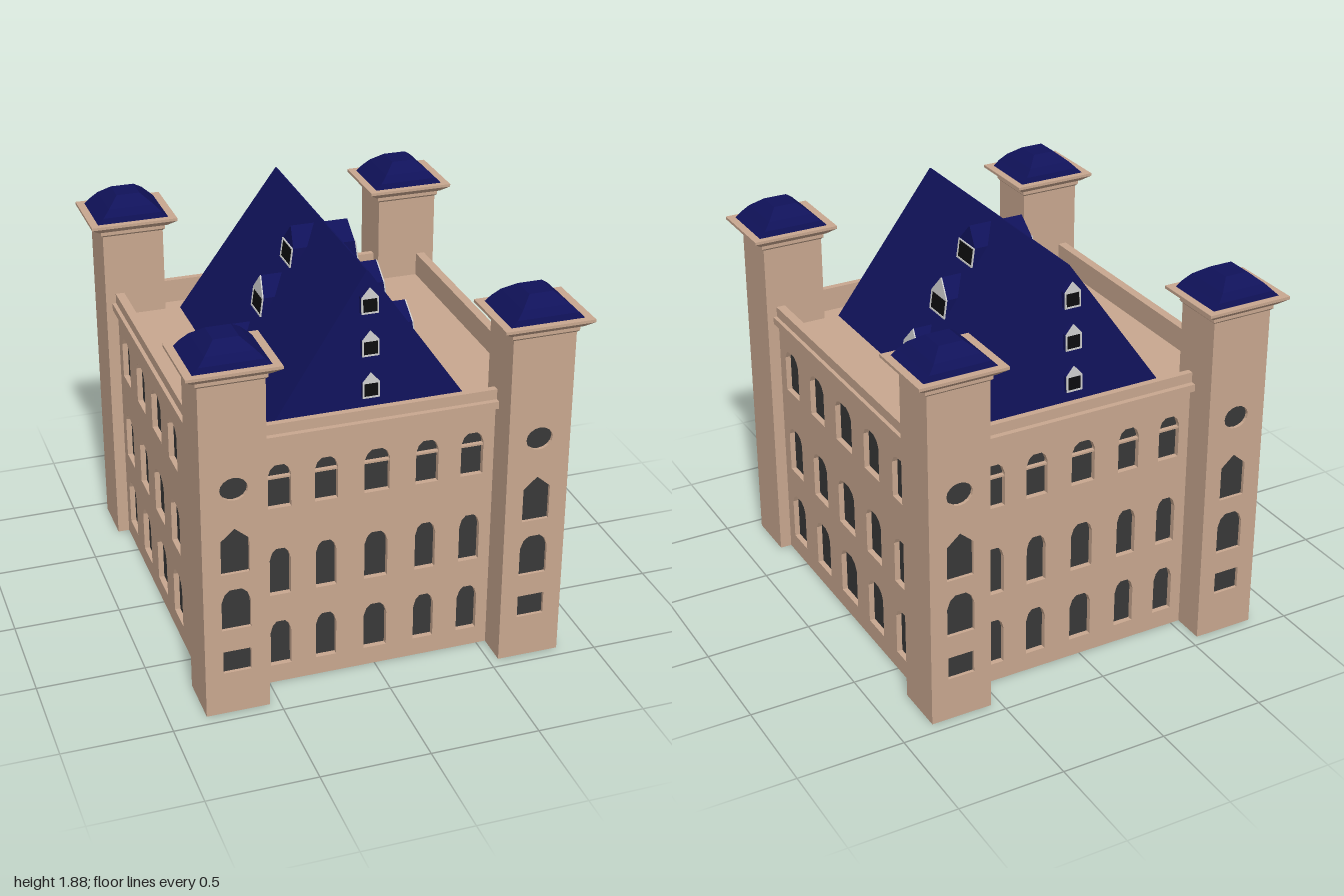
import * as THREE from 'three';

const mat = (color) => new THREE.MeshStandardMaterial({ color, flatShading: true, roughness: 0.9 });
const stone = mat(0xc8a78f), slate = mat(0x10125a), dark = mat(0x383838), black = mat(0x0c0c0e), trim = mat(0xcccccc);
dark.side = black.side = THREE.DoubleSide;

function add(parent, name, geo, material, x = 0, y = 0, z = 0) {
  const m = new THREE.Mesh(geo, material);
  m.name = name;
  m.position.set(x, y, z);
  parent.add(m);
  return m;
}

const poly = (pts) => new THREE.Shape(pts.map(([x, y]) => new THREE.Vector2(x, y)));
const rect = (hx, y0, y1) => poly([[-hx, y0], [hx, y0], [hx, y1], [-hx, y1]]);
const extrude = (shape, depth) => new THREE.ExtrudeGeometry(shape, { depth, bevelEnabled: false });

// Solid through rectangular sections [halfX, halfZ, y], bottom to top
function loft(sections) {
  const pos = [], idx = [], n = sections.length;
  for (const [hx, hz, y] of sections) pos.push(hx, y, hz, hx, y, -hz, -hx, y, -hz, -hx, y, hz);
  for (let s = 0; s < n - 1; s++) {
    for (let k = 0; k < 4; k++) {
      const a = s * 4 + k, b = s * 4 + (k + 1) % 4;
      idx.push(a, b, b + 4, a, b + 4, a + 4);
    }
  }
  const t = (n - 1) * 4;
  idx.push(0, 2, 1, 0, 3, 2, t, t + 1, t + 2, t, t + 2, t + 3);
  const g = new THREE.BufferGeometry();
  g.setAttribute('position', new THREE.Float32BufferAttribute(pos, 3));
  g.setIndex(idx);
  const flat = g.toNonIndexed();
  flat.computeVertexNormals();
  return flat;
}

// Window opening with a faceted arched head of height s
const arch = (x, w, y0, y1, s) => [
  [x - w, y0], [x + w, y0], [x + w, y1 - s], [x + w * 0.78, y1 - s * 0.35], [x + w * 0.4, y1],
  [x - w * 0.4, y1], [x - w * 0.78, y1 - s * 0.35], [x - w, y1 - s],
];

// Wall panel pierced by openings, with dark panes behind; outer face at z
function piercedWall(parent, name, outline, openings, z, depth) {
  outline.holes = openings.map((o) => new THREE.Path(o.map(([x, y]) => new THREE.Vector2(x, y))));
  add(parent, name, extrude(outline, depth), stone, 0, 0, z - depth);
  add(parent, 'windowPanes', new THREE.ShapeGeometry(openings.map(poly)), dark, 0, 0, z - depth + 0.004);
}

// Rectangular ring lying flat, used for the parapet
function ring(parent, name, ox, oz, ix, iz, y0, y1) {
  const s = rect(ox, -oz, oz);
  s.holes.push(rect(ix, -iz, iz));
  const g = extrude(s, y1 - y0);
  g.rotateX(-Math.PI / 2);
  add(parent, name, g, stone, 0, y0, 0);
}

// Gabled dormer facing +z; lean shears the face backward with height
function dormer(hw, eave, apex, depth, lean, gableTrim) {
  const g = new THREE.Group();
  g.name = 'dormer';
  const shear = new THREE.Matrix4().set(1, 0, 0, 0, 0, 1, 0, 0, 0, -lean, 1, 0, 0, 0, 0, 1);
  const house = [[-hw, 0], [hw, 0], [hw, eave], [0, apex], [-hw, eave]];
  add(g, 'dormerBody', extrude(poly(house), depth).applyMatrix4(shear), slate, 0, 0, -depth);
  const frame = gableTrim ? poly(house) : rect(hw, 0, eave);
  const pane = rect(hw - 0.007, 0.007, eave - 0.005);
  frame.holes.push(pane);
  add(g, 'dormerFrame', extrude(frame, 0.006).applyMatrix4(shear), trim);
  add(g, 'dormerPane', new THREE.ShapeGeometry(pane).applyMatrix4(shear), black, 0, 0, 0.002);
  return g;
}

function tower() {
  const g = new THREE.Group();
  g.name = 'tower';
  add(g, 'towerShaft', new THREE.BoxGeometry(0.29, 1.62, 0.225), stone, 0, 0.81, -0.01);
  const round = [];
  for (let i = 0; i < 16; i++) {
    const a = (i / 16) * Math.PI * 2;
    round.push([0.062 * Math.cos(a), 1.12 + 0.054 * Math.sin(a)]);
  }
  piercedWall(g, 'towerFace', rect(0.145, 0, 1.62), [
    [[-0.063, 0.21], [0.063, 0.21], [0.063, 0.32], [-0.063, 0.32]],
    arch(0, 0.065, 0.43, 0.63, 0.06),
    [[-0.063, 0.71], [0.063, 0.71], [0.063, 0.875], [0, 0.93], [-0.063, 0.875]],
    round,
  ], 0.1225, 0.02);
  add(g, 'towerCornice', loft([
    [0.145, 0.122, 1.61], [0.155, 0.132, 1.62], [0.155, 0.132, 1.64], [0.165, 0.14, 1.64],
    [0.205, 0.1775, 1.67], [0.205, 0.1775, 1.683],
  ]), stone);
  add(g, 'towerRoof', loft([
    [0.172, 0.146, 1.68], [0.14, 0.14, 1.71], [0.108, 0.118, 1.743], [0.055, 0.06, 1.787],
  ]), slate);
  return g;
}

export function createModel() {
  const model = new THREE.Group();
  model.name = 'castle';

  // Main block with its flat roof deck
  add(model, 'mainBlock', new THREE.BoxGeometry(1.5, 1.2, 1.52), stone, 0, 0.6, 0);

  // Front and back walls
  for (const turn of [0, Math.PI]) {
    const wall = new THREE.Group();
    wall.name = turn ? 'backWall' : 'frontWall';
    const openings = [];
    for (const x of [-0.443, -0.232, 0, 0.232, 0.443]) {
      const w = x === 0 ? 0.054 : 0.048;
      openings.push(arch(x, w, 0.09, 0.32, 0.055), arch(x, w, 0.46, 0.695, 0.055), arch(x, w + 0.004, 0.9, 1.11, 0.05));
      add(wall, 'transom', new THREE.BoxGeometry(2 * w + 0.01, 0.009, 0.02), stone, x, 1.045, 0.775);
    }
    piercedWall(wall, 'wallFace', rect(0.56, 0, 1.2), openings, 0.79, 0.03);
    wall.rotation.y = turn;
    model.add(wall);
  }

  // Side walls
  for (const side of [1, -1]) {
    const wall = new THREE.Group();
    wall.name = side > 0 ? 'leftWall' : 'rightWall';
    const openings = [];
    for (const x of [-0.567, -0.286, 0, 0.286, 0.567]) {
      const w = x === 0 ? 0.084 : Math.abs(x) < 0.3 ? 0.075 : 0.072;
      openings.push(arch(x, w, 0.09, 0.335, 0.05), arch(x, w, 0.47, 0.71, 0.045), arch(x, w, 0.905, 1.12, 0.045));
    }
    piercedWall(wall, 'wallFace', rect(0.72, 0, 1.2), openings, 0.78, 0.03);
    wall.rotation.y = side * Math.PI / 2;
    model.add(wall);
  }

  // Parapet: wall top, projecting ledge, upper course
  ring(model, 'parapetBase', 0.78, 0.79, 0.745, 0.77, 1.19, 1.23);
  ring(model, 'parapetLedge', 0.805, 0.825, 0.745, 0.77, 1.23, 1.265);
  ring(model, 'parapetTop', 0.787, 0.8, 0.745, 0.77, 1.265, 1.313);

  // Corner towers, windows facing front and back
  for (const sx of [-1, 1]) {
    for (const sz of [-1, 1]) {
      const t = tower();
      t.position.set(sx * 0.69, 0, sz * 0.8225);
      if (sz < 0) t.rotation.y = Math.PI;
      model.add(t);
    }
  }

  // Steep roof with slightly leaning gable ends
  add(model, 'mainRoof', loft([[0.482, 0.695, 1.19], [0.003, 0.637, 1.882]]), slate);

  // Dormers on the two slopes: [face distance, base height]
  [[0.157, 1.68], [0.297, 1.46], [0.442, 1.24]].forEach(([x, y], i) => {
    for (const side of [1, -1]) {
      const d = dormer(0.072, 0.09, 0.172, 0.14, 0.14, i > 0);
      d.position.set(side * x, y, 0);
      d.rotation.y = side * Math.PI / 2;
      model.add(d);
    }
  });

  // Small dormers on the gable ends
  for (const [z, y] of [[0.674, 1.7], [0.688, 1.508], [0.7, 1.315]]) {
    for (const side of [1, -1]) {
      const d = dormer(0.039, 0.073, 0.118, 0.06, 0.05, true);
      d.position.set(0, y, side * z);
      if (side < 0) d.rotation.y = Math.PI;
      model.add(d);
    }
  }

  return model;
}
